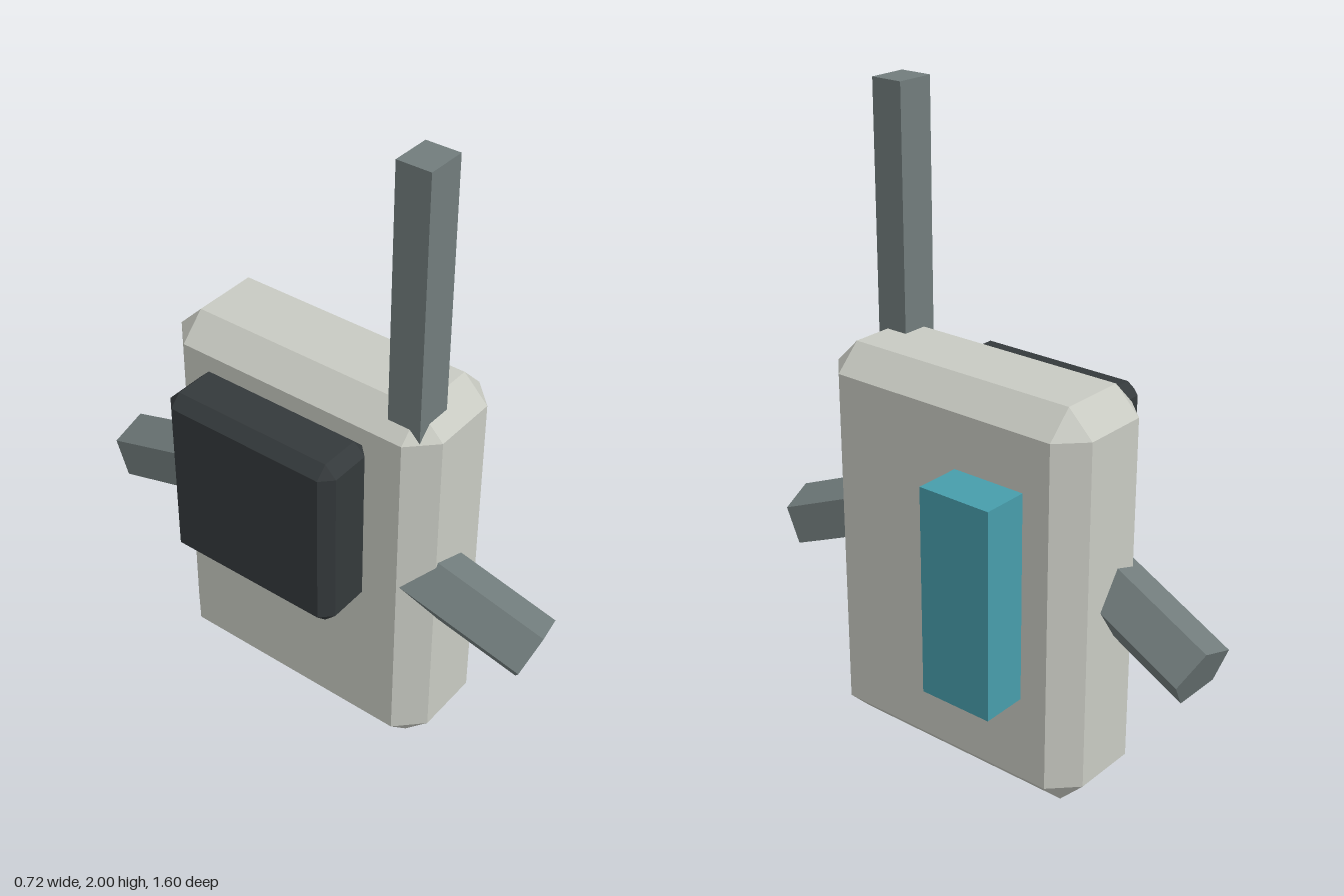
import * as THREE from 'three';
import { ConvexGeometry } from 'three/addons/geometries/ConvexGeometry.js';

const material = (color) => new THREE.MeshStandardMaterial({ color, flatShading: true });

// Box given by its minimum and maximum corners, with optional flat chamfers.
function box(name, min, max, mat, chamfer = 0) {
  const size = max.map((v, i) => v - min[i]);
  let geometry;
  if (chamfer) {
    const points = [];
    for (const sx of [-1, 1]) for (const sy of [-1, 1]) for (const sz of [-1, 1]) {
      for (let axis = 0; axis < 3; axis++) {
        const p = [sx, sy, sz].map((s, i) => s * (size[i] / 2 - (i === axis ? 0 : chamfer)));
        points.push(new THREE.Vector3(...p));
      }
    }
    geometry = new ConvexGeometry(points);
  } else {
    geometry = new THREE.BoxGeometry(...size);
  }
  const mesh = new THREE.Mesh(geometry, mat);
  mesh.name = name;
  mesh.position.set(...min.map((v, i) => v + size[i] / 2));
  return mesh;
}

// Five-sided rod ending at tip, pointing along dir, with one edge turned towards ridge.
function rod(name, tip, dir, ridge, radius, length, mat) {
  const geometry = new THREE.CylinderGeometry(radius, radius, length, 5);
  geometry.translate(0, -length / 2, 0);
  const y = new THREE.Vector3(...dir).normalize();
  const z = new THREE.Vector3(...ridge);
  z.addScaledVector(y, -z.dot(y)).normalize();
  const x = new THREE.Vector3().crossVectors(y, z);
  const mesh = new THREE.Mesh(geometry, mat);
  mesh.name = name;
  mesh.quaternion.setFromRotationMatrix(new THREE.Matrix4().makeBasis(x, y, z));
  mesh.position.set(...tip);
  return mesh;
}

export function createModel() {
  const group = new THREE.Group();
  group.name = 'boxWithAntenna';
  const shell = material(0xc8cac2);
  const dark = material(0x34393b);
  const teal = material(0x479dab);
  const grey = material(0x717c7c);

  // Main housing and the parts on its sides
  group.add(box('body', [-0.163, 0, -0.47], [0.21, 1.258, 0.464], shell, 0.08));
  group.add(box('sidePad', [-0.36, 0.585, -0.3], [-0.162, 1.157, 0.29], dark, 0.036));
  group.add(box('sidePanel', [0.19, 0.35, -0.3], [0.357, 1.006, -0.058], teal));

  // Antenna rising from the front of the top
  group.add(box('antenna', [-0.126, 1.1, 0.312], [-0.002, 2, 0.418], grey));

  // Stubby arms slanting down at the front and back
  group.add(rod('frontArm', [0, 0.516, 0.758], [0.125, -0.365, 0.925],
    [-0.029, 0.094, 0.042], 0.106, 0.45, grey));
  group.add(rod('backArm', [0.001, 0.516, -0.766], [0.12, -0.37, -0.92],
    [0.034, 0.094, -0.033], 0.106, 0.45, grey));

  return group;
}
